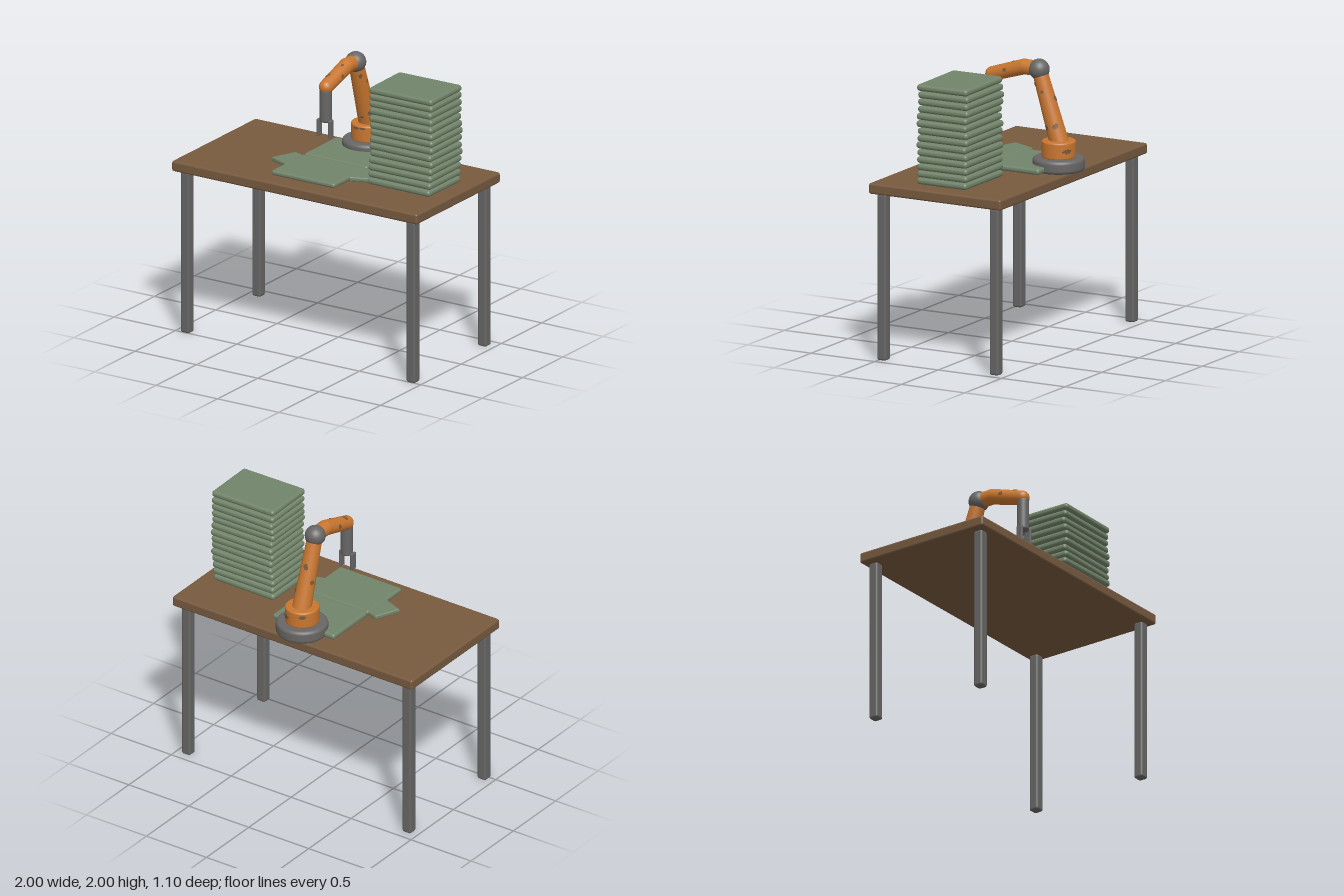
import * as THREE from 'three';
import { RoundedBoxGeometry } from 'three/addons/geometries/RoundedBoxGeometry.js';

const mat = (name, color) => new THREE.MeshStandardMaterial({ name, color });

export function createModel() {
  const wood = mat('brown wood', 0x775a3f);
  const steel = mat('grey steel', 0x676665);
  const orange = mat('orange paint', 0xc8762f);
  const worn = mat('worn paint', 0x75593f);
  const cloth = mat('green cloth', 0x72846a);

  const model = new THREE.Group();
  model.name = 'foldingStation';

  const add = (parent, name, geometry, material, x = 0, y = 0, z = 0) => {
    const mesh = new THREE.Mesh(geometry, material);
    mesh.name = name;
    mesh.position.set(x, y, z);
    parent.add(mesh);
    return mesh;
  };
  const group = (name) => {
    const g = new THREE.Group();
    g.name = name;
    model.add(g);
    return g;
  };
  const box = (w, h, d, r) => new RoundedBoxGeometry(w, h, d, 3, r);

  let seed = 7;
  const rand = () => (seed = (seed * 16807) % 2147483647) / 2147483647;
  const jitter = (amount) => (rand() * 2 - 1) * amount;

  // Disc with rounded rims, standing on y = 0
  const roundedDisc = (radius, height, rim) => {
    const points = [new THREE.Vector2(0, 0)];
    for (let i = 0; i <= 5; i++) {
      const a = -Math.PI / 2 + (i / 5) * (Math.PI / 2);
      points.push(new THREE.Vector2(radius - rim + rim * Math.cos(a), rim + rim * Math.sin(a)));
    }
    for (let i = 0; i <= 5; i++) {
      const a = (i / 5) * (Math.PI / 2);
      points.push(new THREE.Vector2(radius - rim + rim * Math.cos(a), height - rim + rim * Math.sin(a)));
    }
    points.push(new THREE.Vector2(0, height));
    return new THREE.LatheGeometry(points, 40);
  };

  // Irregular worn patch wrapped round a tapered cylinder
  const patch = (parent, r0, r1, height, theta, t, w, h) => {
    const geo = new THREE.CircleGeometry(1, 14);
    const pos = geo.attributes.position;
    for (let i = 0; i < pos.count; i++) {
      const k = i === pos.count - 1 ? 1 : 0.6 + rand() * 0.5;
      const v = t * height + pos.getY(i) * k * h;
      const r = r0 + (r1 - r0) * (v / height) + 0.003;
      const a = theta + (pos.getX(i) * k * w) / r;
      pos.setXYZ(i, r * Math.sin(a), v, r * Math.cos(a));
    }
    // Close the rim where its first and last points meet
    pos.setXYZ(pos.count - 1, pos.getX(1), pos.getY(1), pos.getZ(1));
    geo.computeVertexNormals();
    add(parent, 'wornPatch', geo, worn);
  };

  // Tapered arm segment between two points in the x = 0 plane
  const limb = (parent, name, [y0, z0], [y1, z1], r0, r1, patches) => {
    const length = Math.hypot(y1 - y0, z1 - z0);
    const g = new THREE.Group();
    g.name = name;
    g.position.set(0, y0, z0);
    g.rotation.x = Math.atan2(z1 - z0, y1 - y0);
    parent.add(g);
    add(g, name + 'Tube', new THREE.CylinderGeometry(r1, r0, length, 32), orange, 0, length / 2, 0);
    patches.forEach((p) => patch(g, r0, r1, length, ...p));
  };

  // Table
  const table = group('table');
  add(table, 'tableTop', box(2, 0.075, 1.04, 0.015), wood, 0, 1.205, 0.03);
  for (const x of [-0.92, 0.92])
    for (const z of [-0.41, 0.475]) add(table, 'tableLeg', box(0.07, 1.165, 0.07, 0.015), steel, x, 0.5825, z);

  // Stack of folded garments
  const stack = group('foldedStack');
  for (let i = 0; i < 14; i++) {
    const item = add(stack, 'foldedGarment', box(0.512, 0.046, 0.395, 0.021), cloth,
      0.648 + jitter(0.008), 1.273 + i * 0.0505, 0.03 + jitter(0.008));
    item.rotation.y = jitter(0.02);
  }

  // Garment spread on the table: two panels and two sleeves
  const garment = group('openGarment');
  add(garment, 'backPanel', box(0.515, 0.042, 0.4, 0.018), cloth, 0, 1.272, -0.16);
  add(garment, 'frontPanel', box(0.515, 0.036, 0.4, 0.016), cloth, 0, 1.271, 0.245);
  const outline = [[0.22, 0.075], [0.325, 0.04], [0.395, 0.2], [0.265, 0.25], [0.22, 0.24]];
  for (const side of [-1, 1]) {
    const shape = new THREE.Shape(outline.map(([x, z]) => new THREE.Vector2(side * x, -z)));
    const sleeve = new THREE.ExtrudeGeometry(shape, {
      depth: 0.012, bevelThickness: 0.01, bevelSize: 0.01, bevelSegments: 3,
    });
    sleeve.rotateX(-Math.PI / 2);
    add(garment, side > 0 ? 'leftSleeve' : 'rightSleeve', sleeve, cloth, 0, 1.264, 0);
  }

  // Robot arm: base, turret and jointed limbs
  const arm = group('robotArm');
  const zBase = -0.37;
  add(arm, 'armBase', roundedDisc(0.18, 0.093, 0.025), steel, 0, 1.243, zBase);
  const turret = new THREE.Group();
  turret.name = 'turret';
  turret.position.set(0, 1.33, zBase);
  arm.add(turret);
  add(turret, 'turretBody', roundedDisc(0.118, 0.122, 0.014), orange);
  [[-0.2, 0.84, 0.035, 0.01], [0.25, 0.86, 0.025, 0.008], [2.6, 0.5, 0.04, 0.02], [-2.5, 0.75, 0.03, 0.015]]
    .forEach((p) => patch(turret, 0.118, 0.118, 0.122, ...p));

  limb(arm, 'upperArm', [1.4, -0.385], [1.93, -0.215], 0.068, 0.052, [
    [1.1, 0.28, 0.024, 0.022], [2.2, 0.27, 0.026, 0.022], [0.05, 0.24, 0.02, 0.008],
    [1.7, 0.72, 0.014, 0.012], [3.3, 0.6, 0.02, 0.025], [-1.9, 0.42, 0.022, 0.02], [0.9, 0.84, 0.015, 0.02],
  ]);
  add(arm, 'elbow', new THREE.SphereGeometry(0.072, 32, 20), steel, 0, 1.928, -0.215);
  limb(arm, 'forearmRear', [1.93, -0.215], [1.933, -0.1], 0.052, 0.054, []);
  add(arm, 'forearmBend', new THREE.SphereGeometry(0.054, 32, 16), orange, 0, 1.933, -0.1);
  limb(arm, 'forearm', [1.933, -0.1], [1.855, 0.152], 0.054, 0.05, [
    [3.5, 0.78, 0.026, 0.028], [2.8, 0.25, 0.012, 0.016], [1.8, 0.5, 0.016, 0.02], [-1.7, 0.4, 0.018, 0.02],
  ]);
  add(arm, 'wrist', new THREE.SphereGeometry(0.05, 32, 16), orange, 0, 1.855, 0.152);

  // Gripper with two flat fingers
  add(arm, 'gripperBody', roundedDisc(0.042, 0.24, 0.016), steel, 0, 1.605, 0.157);
  for (const x of [-0.047, 0.047]) add(arm, 'gripperFinger', box(0.018, 0.125, 0.05, 0.006), steel, x, 1.562, 0.165);

  return model;
}
